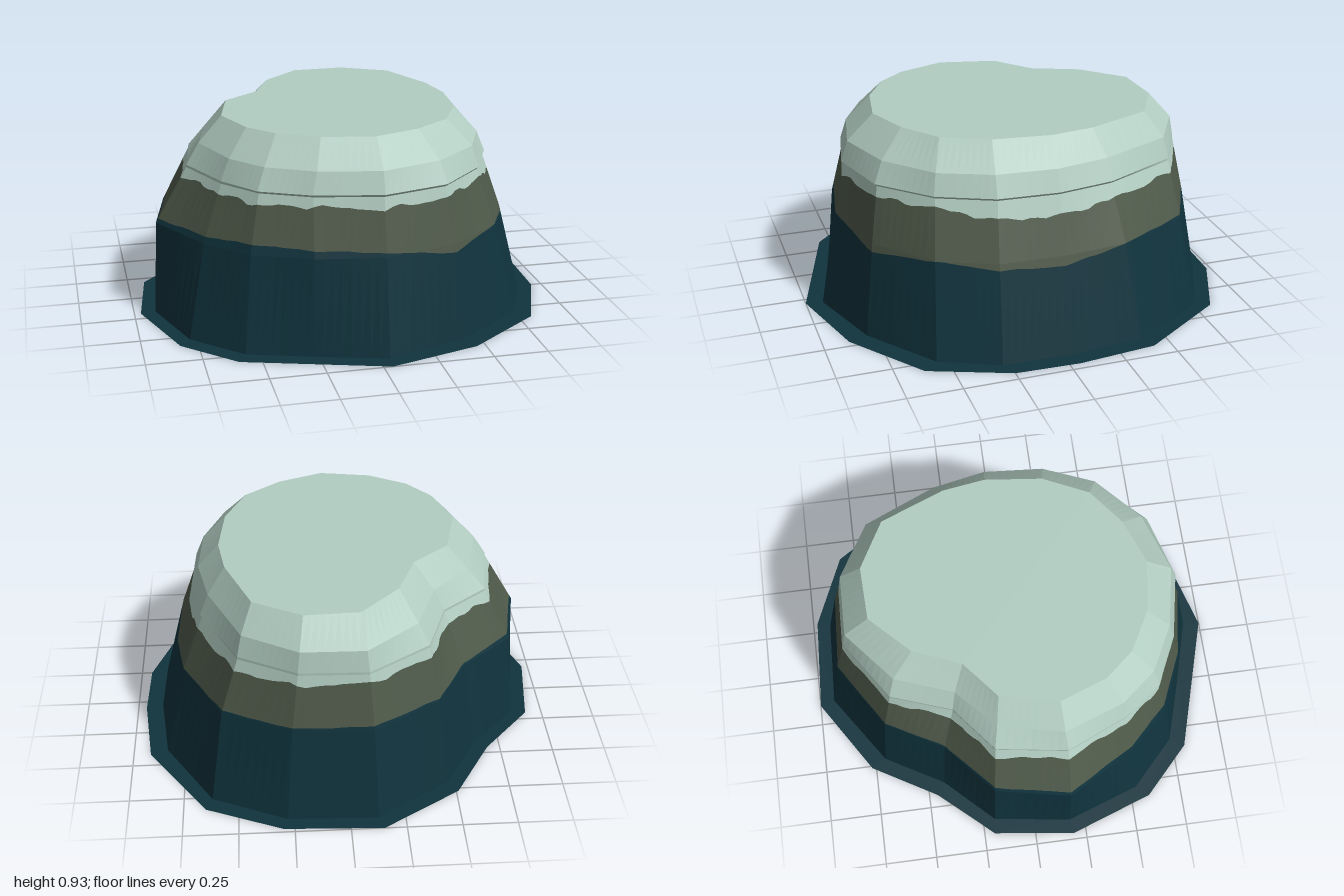
import * as THREE from 'three';

const mat = (name, color) => new THREE.MeshStandardMaterial({ name, color, flatShading: true, side: THREE.DoubleSide });

// Outlines as [x, z] corners, running back -> left -> front -> right
const FLANGE = [[-.15, -1], [.3, -.98], [.65, -.83], [.92, -.42], [.96, -.05], [.95, .25], [.81, .62], [.46, .88],
  [.04, 1], [-.28, .905], [-.6, .81], [-.83, .59], [-.97, .19], [-.92, -.2], [-.69, -.46], [-.51, -.77]];
const BASE = [[-.13, -.93], [.28, -.915], [.62, -.76], [.84, -.39], [.88, -.03], [.87, .28], [.75, .55], [.43, .79],
  [.05, .92], [-.27, .83], [-.56, .74], [-.78, .53], [-.9, .18], [-.85, -.19], [-.63, -.42], [-.47, -.7]];
const WAIST = [[-.11, -.86], [.25, -.84], [.56, -.69], [.74, -.34], [.77, -.04], [.76, .26], [.65, .52], [.39, .74],
  [.05, .84], [-.26, .79], [-.52, .68], [-.7, .49], [-.88, .17], [-.81, -.18], [-.57, -.39], [-.42, -.66]];
const SHOULDER = [[-.09, -.8], [.22, -.79], [.48, -.65], [.64, -.3], [.685, -.04], [.67, .24], [.56, .49], [.35, .7],
  [.05, .785], [-.25, .725], [-.47, .62], [-.61, .45], [-.73, .17], [-.68, -.16], [-.47, -.33], [-.37, -.61]];
const CROWN = [[-.08, -.78], [.21, -.775], [.46, -.63], [.61, -.29], [.66, -.04], [.64, .24], [.54, .48], [.33, .67],
  [.05, .765], [-.23, .71], [-.44, .6], [-.57, .44], [-.67, .16], [-.6, -.14], [-.42, -.31], [-.32, -.58]];
const TOP = [[-.06, -.66], [.19, -.67], [.41, -.55], [.53, -.25], [.56, -.05], [.53, .22], [.43, .43], [.26, .56],
  [.05, .64], [-.19, .6], [-.37, .5], [-.48, .37], [-.56, .15], [-.5, -.12], [-.33, -.26], [-.24, -.48]];

// Slight overhang on the front and left of the light cap
const LIP = SHOULDER.map(([x, z], i) => {
  const s = i >= 3 && i <= 10 ? 1.015 : 1;
  return [x * s, z * s];
});
const RINGS = [[0, BASE], [.44, WAIST], [.7, SHOULDER], [.712, LIP], [.81, CROWN], [.93, TOP]];

// Heights of the two colour borders at each corner
const DARK_EDGE = [.46, .45, .45, .44, .395, .41, .44, .4, .46, .475, .485, .47, .46, .46, .45, .45];
const LIGHT_EDGE = [.66, .65, .645, .635, .61, .62, .66, .65, .645, .66, .65, .66, .66, .65, .65, .65];

const N = 16, SUB = 8;
const mix = (a, b, t) => a + (b - a) * t;
const along = (list, u) => {
  const i = Math.floor(u) % N, j = (i + 1) % N, t = u - Math.floor(u);
  return Array.isArray(list[0]) ? [0, 1].map(k => mix(list[i][k], list[j][k], t)) : mix(list[i], list[j], t);
};
const wobble = u => {
  const a = u / N * Math.PI * 2;
  return Math.sin(a * 17) * .5 + Math.sin(a * 29 + 1) * .35 + Math.sin(a * 43 + 2) * .25;
};
const darkEdge = u => along(DARK_EDGE, u) + wobble(u + 3) * .003;
const lightEdge = u => along(LIGHT_EDGE, u) + wobble(u) * .012;

// Point on the faceted wall at outline position u and height y
function wall(u, y) {
  let k = 0;
  while (k < RINGS.length - 2 && y > RINGS[k + 1][0]) k++;
  const [y0, r0] = RINGS[k], [y1, r1] = RINGS[k + 1];
  const a = along(r0, u), b = along(r1, u), t = (y - y0) / (y1 - y0);
  return [mix(a[0], b[0], t), y, mix(a[1], b[1], t)];
}

// Closed band from a list of functions giving a point for each u
function loft(name, levels, material, sub = SUB) {
  const pos = [], index = [], count = N * sub;
  for (const level of levels) for (let i = 0; i < count; i++) pos.push(...level(i / sub));
  for (let l = 0; l < levels.length - 1; l++) {
    for (let i = 0; i < count; i++) {
      const j = (i + 1) % count, a = l * count, b = a + count;
      index.push(a + i, b + i, a + j, a + j, b + i, b + j);
    }
  }
  const geo = new THREE.BufferGeometry();
  geo.setAttribute('position', new THREE.Float32BufferAttribute(pos, 3));
  geo.setIndex(index);
  geo.computeVertexNormals();
  const mesh = new THREE.Mesh(geo, material);
  mesh.name = name;
  return mesh;
}

export function createModel() {
  const group = new THREE.Group();
  group.name = 'hollowMound';
  const dark = mat('deep teal', 0x10333d);
  const olive = mat('olive', 0x4f5a4a);
  const light = mat('pale green', 0xb2cdc2);
  const at = h => u => wall(u, typeof h === 'function' ? h(u) : h);
  const flat = ring => u => { const [x, z] = along(ring, u); return [x, 0, z]; };

  // Flat skirt around the open bottom
  group.add(loft('skirt', [flat(FLANGE), flat(BASE)], dark, 1));
  // Wall in three coloured bands
  group.add(loft('lowerWall', [at(0), at(u => Math.min(.44, darkEdge(u))), at(darkEdge)], dark));
  group.add(loft('middleWall', [at(darkEdge), at(u => Math.max(.44, darkEdge(u))), at(lightEdge)], olive));
  group.add(loft('upperWall', [at(lightEdge), at(.7), at(.712), at(.81), at(.93)], light));

  // Flat top
  const shape = new THREE.Shape(TOP.map(([x, z]) => new THREE.Vector2(x, -z)));
  const top = new THREE.Mesh(new THREE.ShapeGeometry(shape).rotateX(-Math.PI / 2), light);
  top.position.y = .93;
  top.name = 'flatTop';
  group.add(top);
  return group;
}
